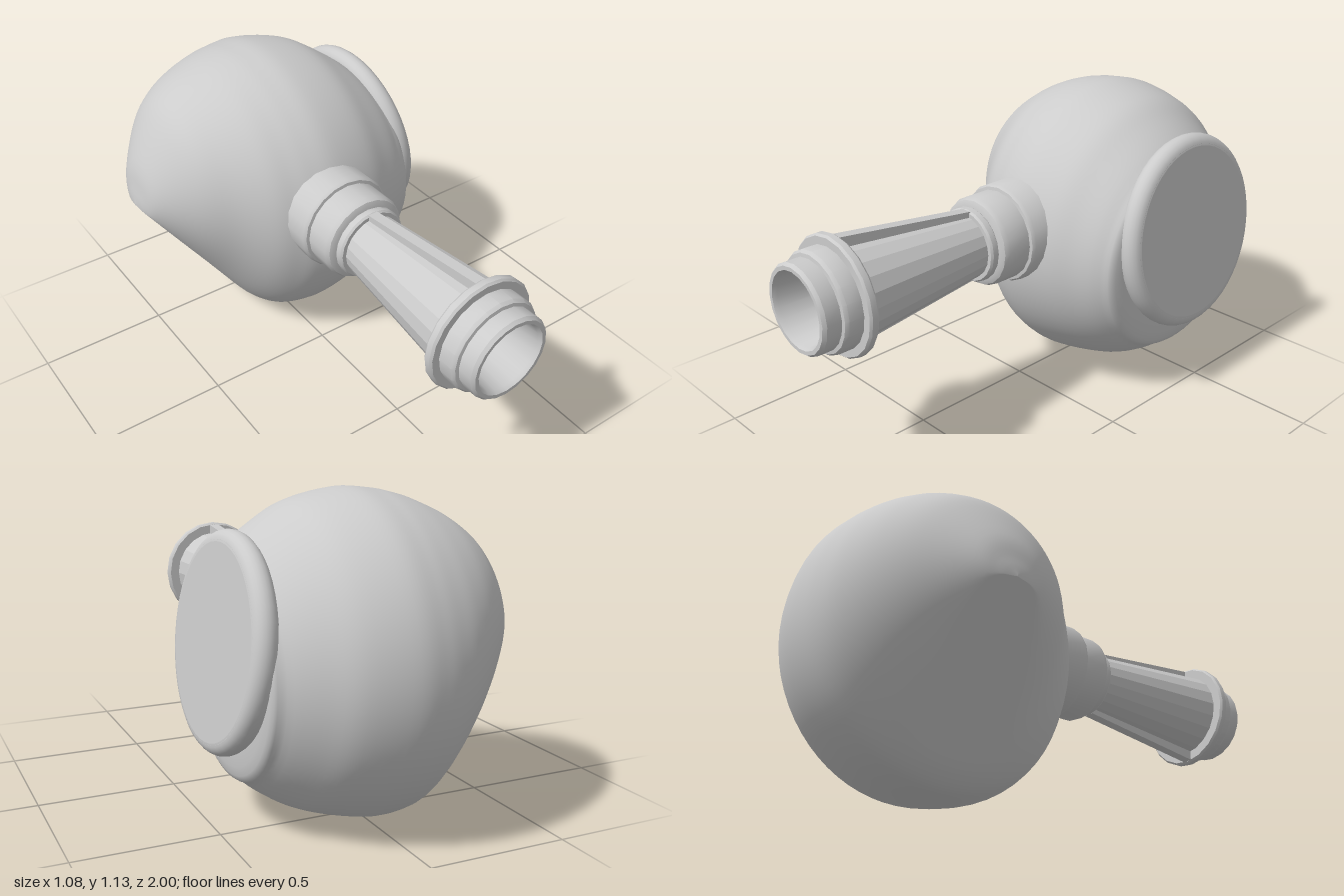
import * as THREE from 'three';
import { toCreasedNormals } from 'three/addons/utils/BufferGeometryUtils.js';

const grey = new THREE.MeshStandardMaterial({ color: 0xcccccc, side: THREE.DoubleSide });
const faceted = new THREE.MeshStandardMaterial({ color: 0xcccccc, side: THREE.DoubleSide, flatShading: true });

function add(parent, name, geometry, material = grey) {
  const mesh = new THREE.Mesh(geometry, material);
  mesh.name = name;
  parent.add(mesh);
  return mesh;
}

// Turned part from [radius, height] pairs, with sharp profile edges
function turned(points, sides) {
  const lathe = new THREE.LatheGeometry(points.map(([r, h]) => new THREE.Vector2(r, h)), sides);
  return toCreasedNormals(lathe, 0.6);
}

// Rounded bulb lofted along x; each section is [x, top, bottom, centre z, half depth]
function bulbGeometry() {
  const sections = [
    [-0.54, 0.61, 0.60, -0.49, 0], [-0.53, 0.67, 0.56, -0.49, 0.07],
    [-0.50, 0.78, 0.51, -0.49, 0.145], [-0.40, 0.95, 0.385, -0.485, 0.285],
    [-0.30, 1.03, 0.25, -0.485, 0.385], [-0.20, 1.08, 0.115, -0.47, 0.47],
    [-0.12, 1.107, 0.03, -0.465, 0.51], [-0.05, 1.12, 0.005, -0.46, 0.533],
    [0.05, 1.125, 0.005, -0.455, 0.545], [0.20, 1.09, 0.04, -0.445, 0.515],
    [0.30, 1.03, 0.08, -0.43, 0.465], [0.40, 0.95, 0.15, -0.415, 0.405],
    [0.45, 0.88, 0.22, -0.42, 0.34], [0.45, 0.55, 0.55, -0.42, 0],
  ];
  const spline = (pick) => new THREE.CatmullRomCurve3(
    sections.map((s) => new THREE.Vector3(...pick(s))), false, 'catmullrom', 0.5);
  const heights = spline(([x, top, bottom]) => [x, top, bottom]);
  const depths = spline(([x, , , z, r]) => [x, z, r]);
  const rows = 65, around = 64, position = [], index = [];
  for (let i = 0; i <= rows; i++) {
    const h = heights.getPoint(i / rows), d = depths.getPoint(i / rows);
    for (let j = 0; j < around; j++) {
      const a = (j / around) * Math.PI * 2;
      const dz = Math.max(d.z, 0) * Math.sin(a);
      let y = (h.y + h.z) / 2 + (h.y - h.z) / 2 * Math.cos(a);
      // Slanting cut across the lower right side
      if (h.x < -0.13) y = Math.max(y, 0.605 - 1.42 * (h.x + 0.54) + dz * dz);
      position.push(h.x, y, d.y + dz);
      if (i === rows) continue;
      const p = i * around + j, q = i * around + (j + 1) % around;
      index.push(p, q, p + around, q, q + around, p + around);
    }
  }
  const geometry = new THREE.BufferGeometry();
  geometry.setAttribute('position', new THREE.Float32BufferAttribute(position, 3));
  geometry.setIndex(index);
  geometry.computeVertexNormals();
  return geometry;
}

export function createModel() {
  const model = new THREE.Group();
  model.name = 'bulbWithNozzle';

  add(model, 'bulb', bulbGeometry());

  // Rounded rim and flat cap on the left side
  const cap = new THREE.Group();
  cap.name = 'sideCap';
  const rim = [[0.3, -0.045]];
  for (let i = 0; i <= 10; i++) {
    const a = -Math.PI / 2 + (i / 10) * Math.PI;
    rim.push([0.325 + 0.043 * Math.cos(a), 0.043 * Math.sin(a)]);
  }
  add(cap, 'capRim', turned(rim, 48));
  const disc = add(cap, 'capDisc', new THREE.CircleGeometry(0.332, 48));
  disc.rotation.x = -Math.PI / 2;
  disc.position.y = 0.042;
  cap.position.set(0.458, 0.635, -0.435);
  cap.quaternion.setFromUnitVectors(new THREE.Vector3(0, 1, 0),
    new THREE.Vector3(0.99, 0.12, -0.02).normalize());
  model.add(cap);

  // Nozzle, built upright and laid along +z
  const nozzle = new THREE.Group();
  nozzle.name = 'nozzle';
  nozzle.position.set(0.02, 0.655, 0);
  nozzle.rotation.x = Math.PI / 2;
  model.add(nozzle);
  const sides = 20;

  add(nozzle, 'collar', turned([
    [0.185, -0.1], [0.187, 0.115], [0.18, 0.128], [0.168, 0.13],
    [0.168, 0.225], [0.16, 0.243], [0.14, 0.252], [0.1, 0.252],
  ], sides));
  add(nozzle, 'neckRing', turned([
    [0.1, 0.248], [0.133, 0.248], [0.139, 0.256], [0.139, 0.278], [0.133, 0.286], [0.1, 0.286],
  ], sides));
  add(nozzle, 'taperedBarrel', new THREE.CylinderGeometry(0.172, 0.118, 0.55, sides, 1, true)
    .translate(0, 0.56, 0), faceted);
  add(nozzle, 'flange', turned([
    [0.15, 0.828], [0.208, 0.828], [0.215, 0.836], [0.215, 0.857], [0.208, 0.865], [0.15, 0.865],
  ], sides));

  // Stepped mouth with a tapering bore
  add(nozzle, 'mouth', turned([
    [0.18, 0.86], [0.18, 0.92], [0.172, 0.932], [0.159, 0.934], [0.159, 0.988], [0.15, 1],
    [0.136, 1], [0.128, 0.985], [0.092, 0.6], [0, 0.6],
  ], sides));

  // Ribs along the top and bottom of the barrel
  const outline = new THREE.Shape([
    [0.1, 0.28], [0.136, 0.28], [0.207, 0.835], [0.15, 0.835],
  ].map(([r, h]) => new THREE.Vector2(r, h)));
  const rib = new THREE.ExtrudeGeometry(outline, { depth: 0.04, bevelEnabled: false })
    .translate(0, 0, -0.02);
  for (const [name, angle] of [['topRib', Math.PI / 2], ['bottomRib', -Math.PI / 2]]) {
    add(nozzle, name, rib).rotation.y = angle;
  }
  return model;
}
